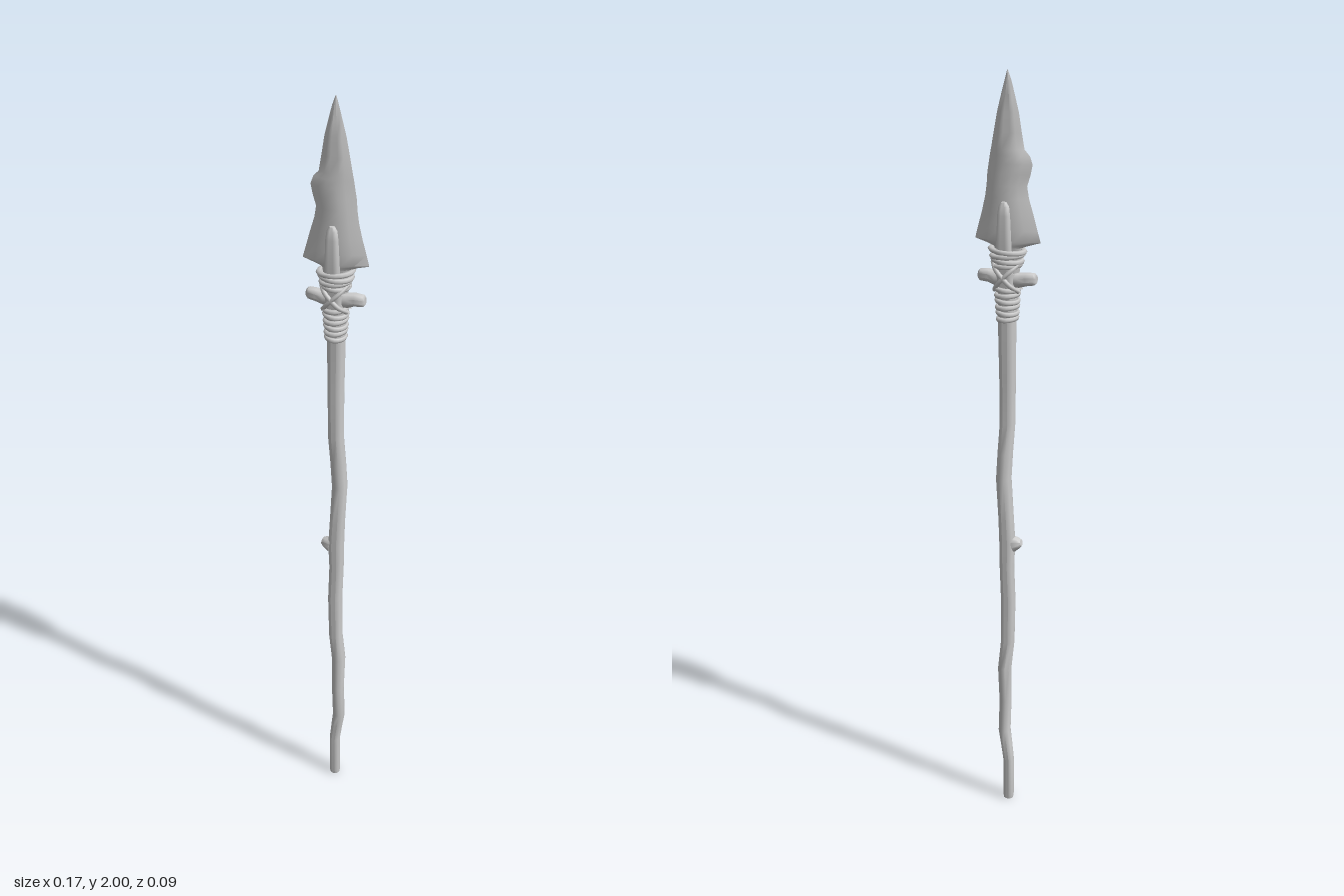
import * as THREE from 'three';
import { toCreasedNormals } from 'three/addons/utils/BufferGeometryUtils.js';

const material = new THREE.MeshStandardMaterial({ color: 0xcccccc });

// Skin a stack of cross-sections (bottom to top) and close both ends.
function loft(rings, crease = 0.9) {
  const n = rings[0].length, pos = [], idx = [];
  rings.forEach(r => r.forEach(p => pos.push(...p)));
  for (let i = 0; i < rings.length - 1; i++) {
    for (let j = 0; j < n; j++) {
      const a = i * n + j, b = i * n + (j + 1) % n;
      idx.push(a, a + n, b, b, a + n, b + n);
    }
  }
  const top = (rings.length - 1) * n;
  for (let j = 1; j < n - 1; j++) {
    idx.push(0, j, j + 1, top, top + j + 1, top + j);
  }
  const geo = new THREE.BufferGeometry();
  geo.setAttribute('position', new THREE.Float32BufferAttribute(pos, 3));
  geo.setIndex(idx);
  return toCreasedNormals(geo, crease);
}

// Elliptical cross-section at height y.
function oval(y, cx, cz, rx, rz = rx, sides = 10) {
  return Array.from({ length: sides }, (_, i) => {
    const a = (i / sides) * Math.PI * 2;
    return [cx + rx * Math.cos(a), y, cz + rz * Math.sin(a)];
  });
}

// Lens cross-section with sharp edges at xl and xr.
function lens(y, xl, xr, t) {
  const c = (xl + xr) / 2, h = (xr - xl) / 2;
  const top = [[1, 0], [0.6, 0.6], [0.25, 0.94], [-0.25, 0.94], [-0.6, 0.6]];
  return [...top, ...top.map(([u, v]) => [-u, -v])].map(([u, v]) => [c + u * h, y, v * t]);
}

function add(parent, name, geo) {
  const mesh = new THREE.Mesh(geo, material);
  mesh.name = name;
  parent.add(mesh);
  return mesh;
}

export function createModel() {
  const model = new THREE.Group();
  model.name = 'spear';

  // Crooked wooden shaft: y, x, z, radius
  const shaft = [
    [0, -0.003, 0, 0.013], [0.012, -0.003, 0, 0.015], [0.12, -0.004, -0.002, 0.015],
    [0.17, 0.003, 0, 0.016], [0.21, 0.009, 0.001, 0.017], [0.3, 0.007, 0.003, 0.017],
    [0.4, 0.008, 0, 0.019], [0.48, 0, 0.001, 0.019], [0.6, -0.002, 0, 0.02],
    [0.7, 0.001, -0.002, 0.02], [0.77, 0, -0.002, 0.022], [0.84, 0.003, -0.003, 0.021],
    [0.95, 0.009, -0.004, 0.021], [1.02, 0.006, -0.001, 0.021], [1.1, 0.002, 0.005, 0.021],
    [1.22, 0, 0, 0.022], [1.36, 0.001, 0, 0.024], [1.5, 0, 0, 0.026],
  ];
  add(model, 'shaft', loft(shaft.map(s => oval(...s))));

  // Stub of a broken twig
  const knot = add(model, 'twigStub', loft([
    oval(0, 0, 0, 0.024, 0.018), oval(0.016, 0, 0, 0.015), oval(0.024, 0, 0, 0.009),
  ]));
  knot.position.set(-0.015, 0.768, 0);
  knot.rotation.z = 1.35;

  // Chipped stone blade and its tang: y, left edge, right edge, half thickness
  const blade = [
    [1.47, -0.03, 0.03, 0.014], [1.565, -0.036, 0.036, 0.018], [1.573, -0.058, 0.055, 0.019],
    [1.582, -0.087, 0.086, 0.02], [1.61, -0.079, 0.079, 0.021], [1.65, -0.068, 0.068, 0.021],
    [1.69, -0.056, 0.059, 0.02], [1.72, -0.051, 0.055, 0.019], [1.75, -0.06, 0.053, 0.017],
    [1.775, -0.065, 0.049, 0.016], [1.795, -0.058, 0.046, 0.015], [1.81, -0.044, 0.043, 0.014],
    [1.85, -0.037, 0.036, 0.012], [1.9, -0.029, 0.027, 0.01], [1.94, -0.019, 0.017, 0.007],
    [1.975, -0.01, 0.008, 0.004], [2, -0.001, 0.001, 0.001],
  ];
  add(model, 'blade', loft(blade.map(b => lens(...b)), 0.7));

  // Forked prongs gripping the blade front and back
  for (const s of [1, -1]) {
    add(model, s > 0 ? 'frontProng' : 'backProng', loft([
      oval(1.42, 0, s * 0.012, 0.02, 0.012), oval(1.5, 0, s * 0.02, 0.022, 0.013),
      oval(1.58, 0, s * 0.027, 0.02, 0.012), oval(1.65, 0, s * 0.028, 0.017, 0.01),
      oval(1.673, 0, s * 0.027, 0.014, 0.009), oval(1.683, 0, s * 0.026, 0.007, 0.006),
    ]));
  }

  // Crosspiece through the fork: distance along x, height offset, radii
  const peg = add(model, 'crosspiece', loft([
    oval(-0.077, 0, 0, 0.01, 0.009), oval(-0.071, 0, 0, 0.016, 0.014),
    oval(-0.05, 0.002, 0, 0.018, 0.016), oval(-0.03, 0.006, 0, 0.02, 0.017),
    oval(0.03, 0.005, 0, 0.021, 0.017), oval(0.05, 0, 0, 0.018, 0.016),
    oval(0.072, 0, 0, 0.016, 0.014), oval(0.077, 0, 0, 0.01, 0.009),
  ]));
  peg.position.y = 1.489;
  peg.rotation.z = -Math.PI / 2;

  // Cord turns below and above the crosspiece: y, x radius, z radius
  const lashing = new THREE.Group();
  lashing.name = 'lashing';
  model.add(lashing);
  const turns = [];
  for (let i = 0; i < 6; i++) turns.push([1.383 + i * 0.0155, 0.024 + i * 0.001, 0.03 + i * 0.0006]);
  for (let i = 0; i < 4; i++) turns.push([1.521 + i * 0.0125, 0.033 + i * 0.003, 0.034 + i * 0.001]);
  turns.forEach(([y, rx, rz], i) => {
    const ring = new THREE.TorusGeometry(1, 0.0065 / 0.032, 6, 20);
    ring.rotateX(Math.PI / 2);
    ring.scale(rx, 0.032, rz);
    const turn = add(lashing, 'cordTurn', ring);
    turn.position.y = y;
    turn.rotation.z = i % 2 ? 0.08 : -0.06;
  });

  // Diagonal cords crossing over the crosspiece on both faces
  for (const s of [1, -1]) {
    for (const d of [1, -1]) {
      const path = new THREE.CatmullRomCurve3([
        new THREE.Vector3(-d * 0.032, 1.455, s * 0.008), new THREE.Vector3(-d * 0.018, 1.472, s * 0.03),
        new THREE.Vector3(0, 1.492, s * 0.036), new THREE.Vector3(d * 0.02, 1.512, s * 0.031),
        new THREE.Vector3(d * 0.036, 1.53, s * 0.008),
      ]);
      add(lashing, 'crossCord', new THREE.TubeGeometry(path, 14, 0.006, 6));
    }
  }
  return model;
}
